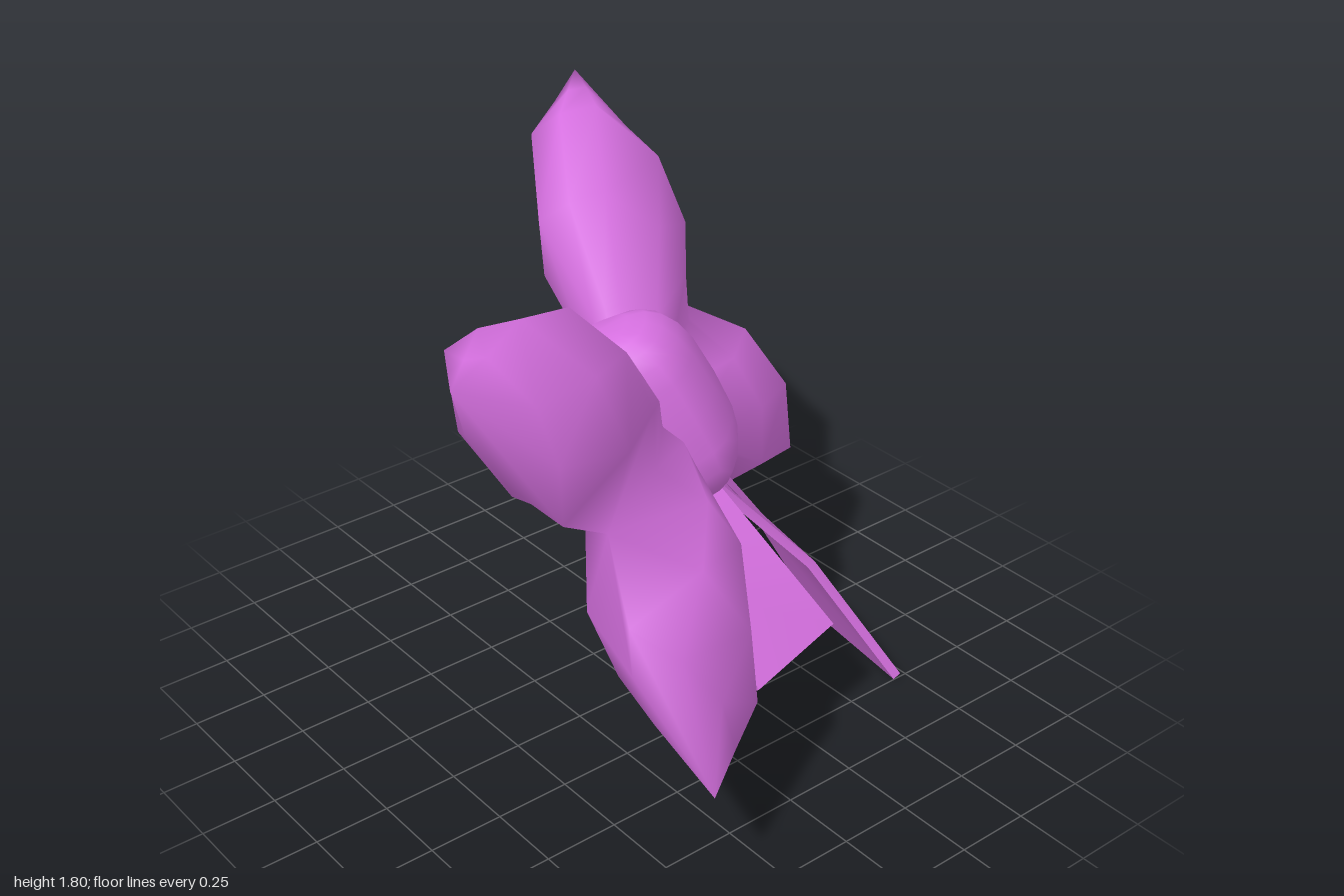
import * as THREE from 'three';
import { mergeVertices, mergeGeometries, toCreasedNormals } from 'three/addons/utils/BufferGeometryUtils.js';

const orchid = new THREE.MeshStandardMaterial({ color: 0xd670e0 });
orchid.name = 'orchid';

const CENTRE = new THREE.Vector3(0, 1.08, 0);

function buildGeometry(positions, index) {
  const g = new THREE.BufferGeometry();
  g.setAttribute('position', new THREE.Float32BufferAttribute(positions, 3));
  g.setIndex(index);
  return g;
}

// Stations of one lobe, knot to tip: top x,y, bottom x,y,
// then half thickness at the top, upper middle, lower middle and bottom
const STATIONS = [
  [0.08, 0.20, 0.08, 0, 0.04, 0.08, 0.08, 0.08],
  [0.16, 0.27, 0.20, 0, 0.05, 0.13, 0.14, 0.11],
  [0.357, 0.565, 0.43, 0, 0.12, 0.21, 0.20, 0.12],
  [0.685, 0.732, 0.685, 0, 0.12, 0.22, 0.19, 0],
  [0.86, 0.737, 0.898, 0.19, 0.06, 0.11, 0.08, 0],
  [1.022, 0.741, 1.022, 0.741, 0, 0, 0, 0],
];
const RING = 9;

// One puffy lobe, mirrored by the signs sx and sy
function lobe(sx, sy) {
  const pos = [], index = [];
  for (const [tx, ty, bx, by, hT, hM, hN, hB] of STATIONS) {
    const at = (v, h) => pos.push(sx * (tx + (bx - tx) * v), sy * (ty + (by - ty) * v), h);
    at(0, 0);
    at(0.03, hT); at(0.36, hM); at(0.7, hN); at(1, hB);
    at(1, -hB); at(0.7, -hN); at(0.36, -hM); at(0.03, -hT);
  }
  for (let i = 0; i < STATIONS.length - 1; i++) {
    for (let j = 0; j < RING; j++) {
      if (j === 4) continue; // the two lobes of a wing join here
      const k = (j + 1) % RING;
      const a = i * RING + j, b = i * RING + k, c = b + RING, d = a + RING;
      if (sx * sy > 0) index.push(a, b, c, a, c, d);
      else index.push(a, c, b, a, d, c);
    }
  }
  return buildGeometry(pos, index);
}

// Mesh shaded smoothly across all joined parts
function smoothMesh(name, geometry) {
  const g = mergeVertices(geometry, 1e-4);
  g.computeVertexNormals();
  const mesh = new THREE.Mesh(g, orchid);
  mesh.name = name;
  return mesh;
}

// Boxy rounded knot
function knotGeometry() {
  const g = new THREE.SphereGeometry(1, 16, 12);
  g.deleteAttribute('uv');
  g.deleteAttribute('normal');
  const p = g.attributes.position;
  const soft = (c, r) => (Math.abs(c) < 1e-6 ? 0 : Math.sign(c) * Math.abs(c) ** 0.65 * r);
  for (let i = 0; i < p.count; i++) {
    p.setXYZ(i, soft(p.getX(i), 0.195) + 0.008, soft(p.getY(i), 0.32) - 0.04, soft(p.getZ(i), 0.24));
  }
  return g;
}

// Flat ribbon tail lofted through pairs of edge points
function tail(name, pairs, thickness) {
  const pos = [], index = [];
  const rows = pairs.map(([l, r]) => [new THREE.Vector3(...l), new THREE.Vector3(...r)]);
  rows.forEach(([l, r], i) => {
    const prev = rows[Math.max(i - 1, 0)], next = rows[Math.min(i + 1, rows.length - 1)];
    const down = next[0].clone().add(next[1]).sub(prev[0]).sub(prev[1]);
    const off = down.cross(r.clone().sub(l)).setLength(thickness / 2);
    for (const v of [l.clone().add(off), r.clone().add(off), r.clone().sub(off), l.clone().sub(off)]) {
      pos.push(v.x, v.y, v.z);
    }
  });
  for (let i = 0; i < rows.length - 1; i++) {
    for (let j = 0; j < 4; j++) {
      const a = i * 4 + j, b = i * 4 + (j + 1) % 4;
      index.push(a, a + 4, b + 4, a, b + 4, b);
    }
  }
  const e = (rows.length - 1) * 4;
  index.push(0, 1, 2, 0, 2, 3, e, e + 2, e + 1, e, e + 3, e + 2);
  const mesh = new THREE.Mesh(toCreasedNormals(buildGeometry(pos, index), 0.7), orchid);
  mesh.name = name;
  return mesh;
}

export function createModel() {
  const model = new THREE.Group();
  model.name = 'ribbonBow';

  // Wings and knot lie in a tilted plane
  const bow = new THREE.Group();
  bow.name = 'bow';
  const ez = new THREE.Vector3(0.591, 0.464, 0.659).normalize();
  const ex = new THREE.Vector3(0.817, 0, -0.577);
  ex.addScaledVector(ez, -ex.dot(ez)).normalize();
  const ey = new THREE.Vector3().crossVectors(ez, ex);
  bow.quaternion.setFromRotationMatrix(new THREE.Matrix4().makeBasis(ex, ey, ez));
  bow.rotateZ(THREE.MathUtils.degToRad(7.2));
  bow.position.copy(CENTRE);

  const lobes = [];
  for (const sx of [1, -1]) for (const sy of [1, -1]) lobes.push(lobe(sx, sy));
  bow.add(smoothMesh('wings', mergeGeometries(lobes)));
  bow.add(smoothMesh('knot', knotGeometry()));
  model.add(bow);

  // Hanging tails
  model.add(tail('shortTail', [
    [[-0.02, 0.84, 0.14], [0.14, 0.88, 0.12]],
    [[-0.03, 0.575, 0.375], [0.24, 0.62, 0.39]],
    [[-0.03, 0.355, 0.61], [0.355, 0.39, 0.53]],
  ], 0.025));
  model.add(tail('longTail', [
    [[0.13, 0.86, 0.13], [0.22, 0.87, 0.0]],
    [[0.48, 0.45, 0.30], [0.52, 0.47, 0.0]],
    [[0.71, 0.01, 0.50], [0.75, 0.03, 0.085]],
  ], 0.03));
  return model;
}
